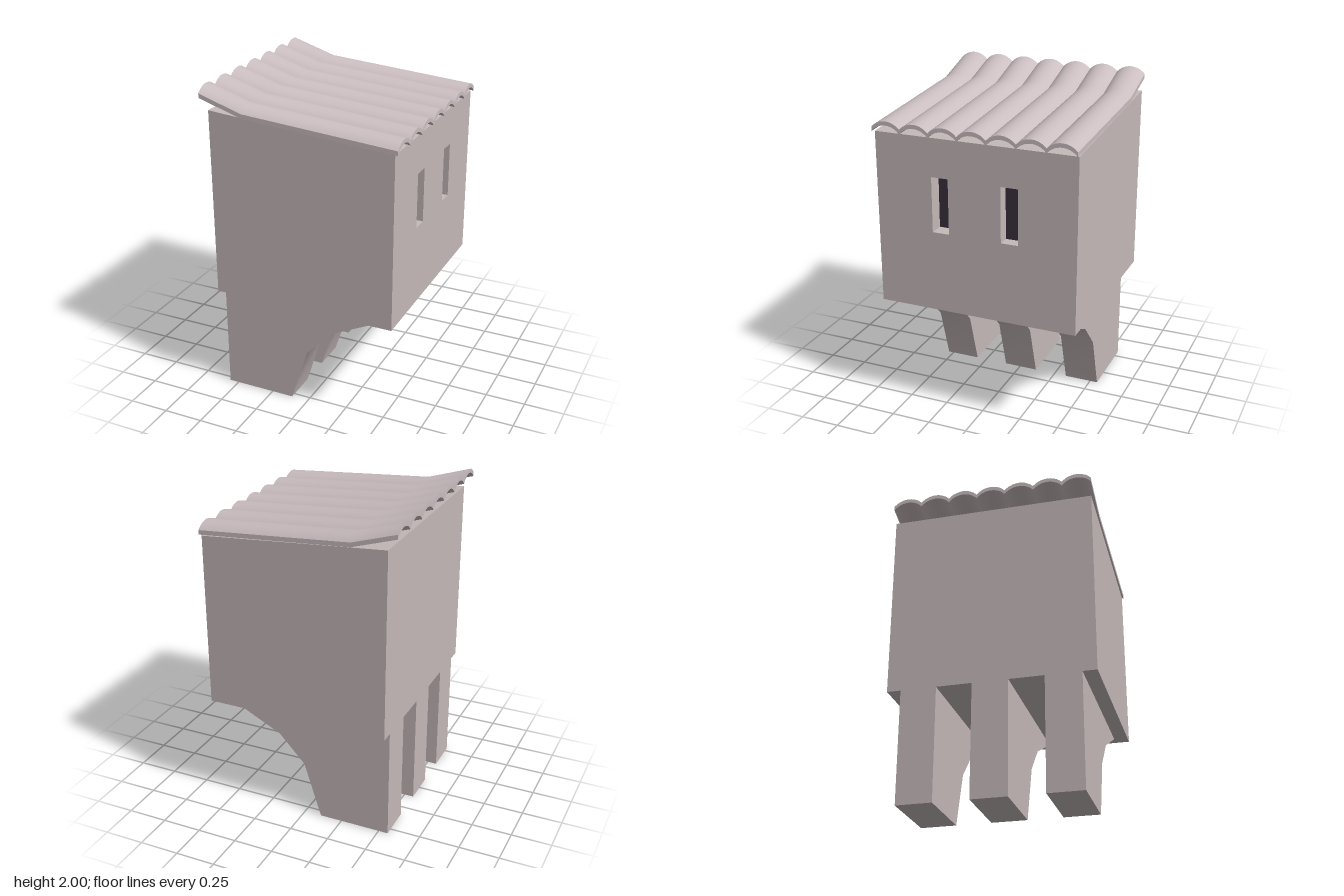
import * as THREE from 'three';
import { toCreasedNormals } from 'three/addons/utils/BufferGeometryUtils.js';

const plaster = new THREE.MeshStandardMaterial({ color: 0xc5b9b9 });
plaster.name = 'plaster';
const roofTile = new THREE.MeshStandardMaterial({ color: 0xcabdc0 });
roofTile.name = 'roof tile';
const darkOpening = new THREE.MeshStandardMaterial({ color: 0x382f3d });
darkOpening.name = 'dark opening';

const BACK = -0.632, FRONT = 0.62;        // body extent in z
const LEFT = -0.56, RIGHT = 0.59;         // body extent in x
const BASE = 0.7, WALL = 0.1;             // underside of the body, window wall thickness
const topAt = (x) => 1.865 - (0.09 * (x - LEFT)) / (RIGHT - LEFT);

const shapeOf = (pts) => new THREE.Shape(pts.map(([x, y]) => new THREE.Vector2(x, y)));
const extrude = (shape, depth, steps = 1) =>
  new THREE.ExtrudeGeometry(shape, { depth, steps, bevelEnabled: false });

export function createModel() {
  const group = new THREE.Group();
  const add = (name, geometry, material) => {
    const mesh = new THREE.Mesh(geometry, material);
    mesh.name = name;
    group.add(mesh);
    return mesh;
  };

  // Main body with a sloping top
  const inner = RIGHT - WALL;
  add('body', extrude(shapeOf([[LEFT, BASE], [inner, BASE], [inner, topAt(inner)], [LEFT, topAt(LEFT)]]),
    FRONT - BACK), plaster).position.z = BACK;

  // Window wall, drawn in (-z, y) and turned to face +x
  const wall = shapeOf([[-FRONT, BASE], [-BACK, BASE], [-BACK, 2], [-FRONT, 2]]);
  const windows = [{ z: 0.212, depth: 0.095 }, { z: -0.222, depth: 0.075 }];
  const w = 0.0525, sill = 1.2, head = 1.54;
  for (const { z } of windows) {
    wall.holes.push(new THREE.Path([[-z - w, sill], [-z - w, head], [-z + w, head], [-z + w, sill]]
      .map(([x, y]) => new THREE.Vector2(x, y))));
  }
  const wallGeo = extrude(wall, WALL).rotateY(Math.PI / 2).translate(inner, 0, 0);
  const wp = wallGeo.attributes.position;
  for (let i = 0; i < wp.count; i++) if (wp.getY(i) > 1.9) wp.setY(i, topAt(wp.getX(i)));
  wallGeo.computeVertexNormals();
  add('windowWall', wallGeo, plaster);

  // Dark panes set back in the openings
  for (const { z, depth } of windows) {
    add('windowPane', new THREE.BoxGeometry(0.004, head - sill, 2 * w), darkOpening)
      .position.set(RIGHT - depth, (sill + head) / 2, z);
  }

  // Three curved support brackets
  const bracket = toCreasedNormals(extrude(shapeOf([[LEFT, 0], [-0.11, 0], [0, 0.35],
    [0.165, 0.525], [0.52, BASE], [LEFT, BASE]]), 0.218), 0.52);
  for (const z of [0.316, -0.115, -0.548]) add('bracket', bracket, plaster).position.z = z;

  // Arched roof tile: cross-section swept along a bent slope
  const half = 0.09, n = 10;
  const arc = (peak, edge) => {
    const rise = peak - edge;
    const r = (half * half + rise * rise) / (2 * rise);
    const a = Math.asin(half / r);
    return Array.from({ length: n + 1 }, (_, i) => {
      const t = a - (2 * a * i) / n;
      return [r * Math.sin(t), peak - r + r * Math.cos(t)];
    });
  };
  const section = [...arc(0, -0.04), ...arc(-0.025, -0.067).reverse()];
  const slope = [[-0.613, 2.0], [-0.34, 1.915], [0.61, 1.845]];
  const tile = extrude(shapeOf(section), 2, 2).rotateY(Math.PI / 2);
  const tp = tile.attributes.position;
  for (let i = 0; i < tp.count; i++) {
    const [x, y] = slope[Math.round(tp.getX(i))];
    tp.setXYZ(i, x, y + tp.getY(i), tp.getZ(i));
  }
  const tileGeo = toCreasedNormals(tile, 0.6);
  for (let i = -3; i <= 3; i++) add('roofTile', tileGeo, roofTile).position.z = i * 2 * half;

  return group;
}
